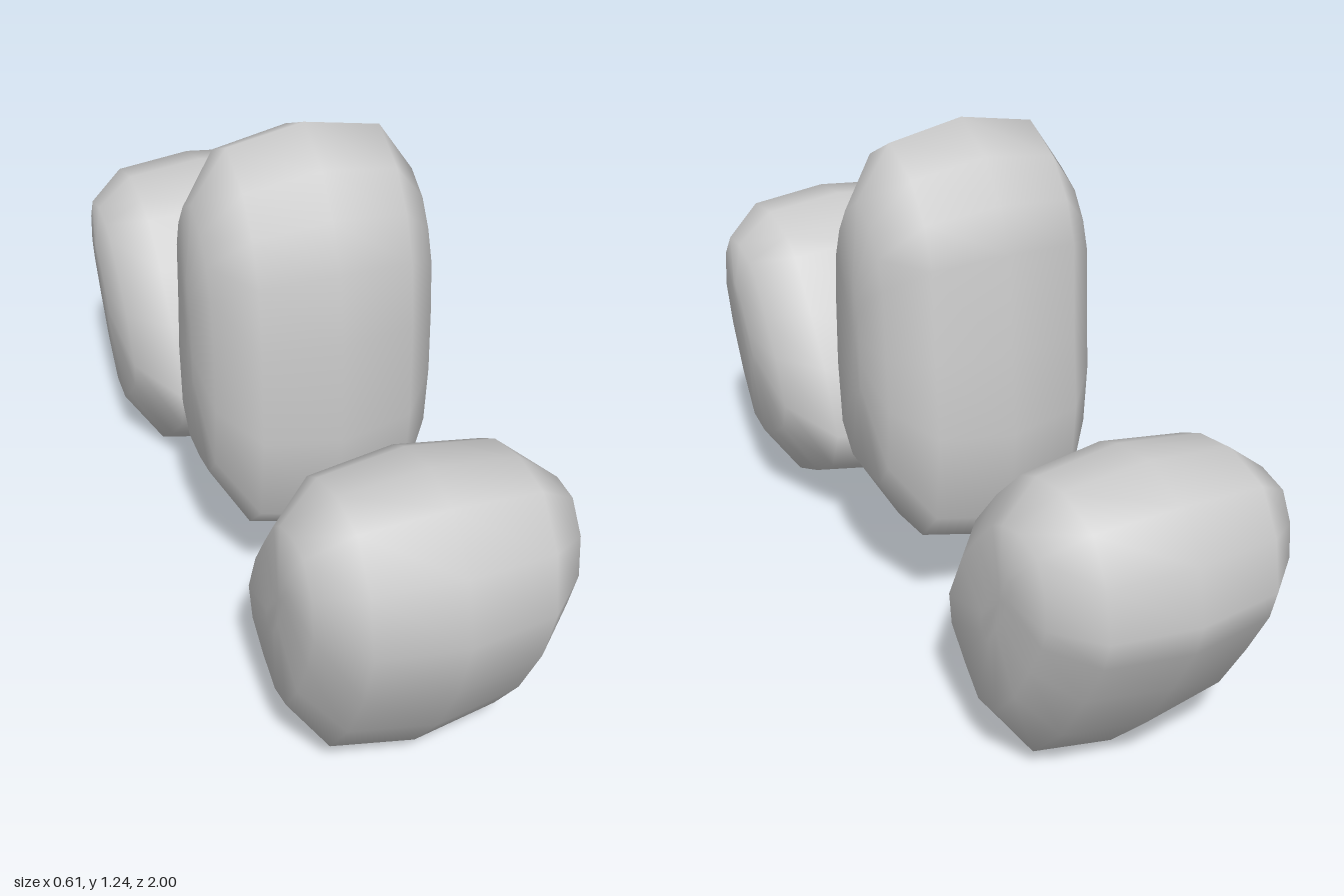
import * as THREE from 'three';

// Slices from the middle plane outward: [fraction of half width, scale across, scale along]
const HALF = [[0, 1, 1], [0.64, 0.89, 0.93], [0.94, 0.55, 0.67], [1, 0.1, 0.28]];
const SLICES = [
  ...HALF.slice(1).reverse().map(([f, a, l]) => [-f, a, l]),
  ...HALF,
];

// Rounded stone: a side outline of [z, y] points, shrunk toward its core in slices along x
function makeStone(name, outline, [cz, cy], tilt, halfWidth) {
  const n = outline.length, positions = [], index = [];
  const s = Math.sin(tilt), c = Math.cos(tilt);
  for (const [f, across, along] of SLICES) {
    for (const [z, y] of outline) {
      const dz = z - cz, dy = y - cy;
      const l = (dz * s + dy * c) * along;
      const a = (dz * c - dy * s) * across;
      positions.push(f * halfWidth, cy + l * c - a * s, cz + l * s + a * c);
    }
  }
  for (let i = 0; i < SLICES.length - 1; i++) {
    for (let j = 0; j < n; j++) {
      const k = (j + 1) % n, p = i * n, q = p + n;
      index.push(p + j, q + j, p + k, q + j, q + k, p + k);
    }
  }
  // Small end caps
  const last = (SLICES.length - 1) * n, left = SLICES.length * n, right = left + 1;
  positions.push(halfWidth, cy, cz, -halfWidth, cy, cz);
  for (let j = 0; j < n; j++) {
    const k = (j + 1) % n;
    index.push(left, last + k, last + j, right, j, k);
  }
  const geometry = new THREE.BufferGeometry();
  geometry.setAttribute('position', new THREE.Float32BufferAttribute(positions, 3));
  geometry.setIndex(index);
  geometry.computeVertexNormals();
  const mesh = new THREE.Mesh(geometry, new THREE.MeshStandardMaterial({ color: 0xcccccc }));
  mesh.name = name;
  return mesh;
}

export function createModel() {
  const group = new THREE.Group();
  group.name = 'threeStones';

  // Upright stone in the centre
  group.add(makeStone('middleStone', [
    [0.035, 1.237], [-0.085, 1.18], [-0.16, 1.09], [-0.2, 0.99], [-0.215, 0.75],
    [-0.235, 0.56], [-0.215, 0.33], [-0.125, 0.235], [0.025, 0.222], [0.165, 0.235],
    [0.265, 0.33], [0.293, 0.56], [0.288, 0.81], [0.27, 0.98], [0.225, 1.085], [0.155, 1.175],
  ], [0.03, 0.76], 0, 0.277));

  // Stone leaning forward
  group.add(makeStone('frontStone', [
    [0.76, 0.815], [0.64, 0.785], [0.575, 0.745], [0.475, 0.61], [0.385, 0.48],
    [0.312, 0.305], [0.362, 0.19], [0.49, 0.11], [0.63, 0.047], [0.755, 0.065],
    [0.865, 0.215], [0.955, 0.39], [1, 0.545], [0.97, 0.695], [0.88, 0.8],
  ], [0.73, 0.54], 0.47, 0.306));

  // Stone leaning backward
  group.add(makeStone('backStone', [
    [-0.78, 0.767], [-0.91, 0.73], [-0.975, 0.63], [-1, 0.505], [-0.98, 0.43],
    [-0.91, 0.3], [-0.82, 0.15], [-0.69, 0.012], [-0.56, 0], [-0.44, 0.095],
    [-0.325, 0.2], [-0.295, 0.31], [-0.38, 0.49], [-0.485, 0.615], [-0.595, 0.72], [-0.665, 0.75],
  ], [-0.73, 0.5], -0.5, 0.306));

  return group;
}
